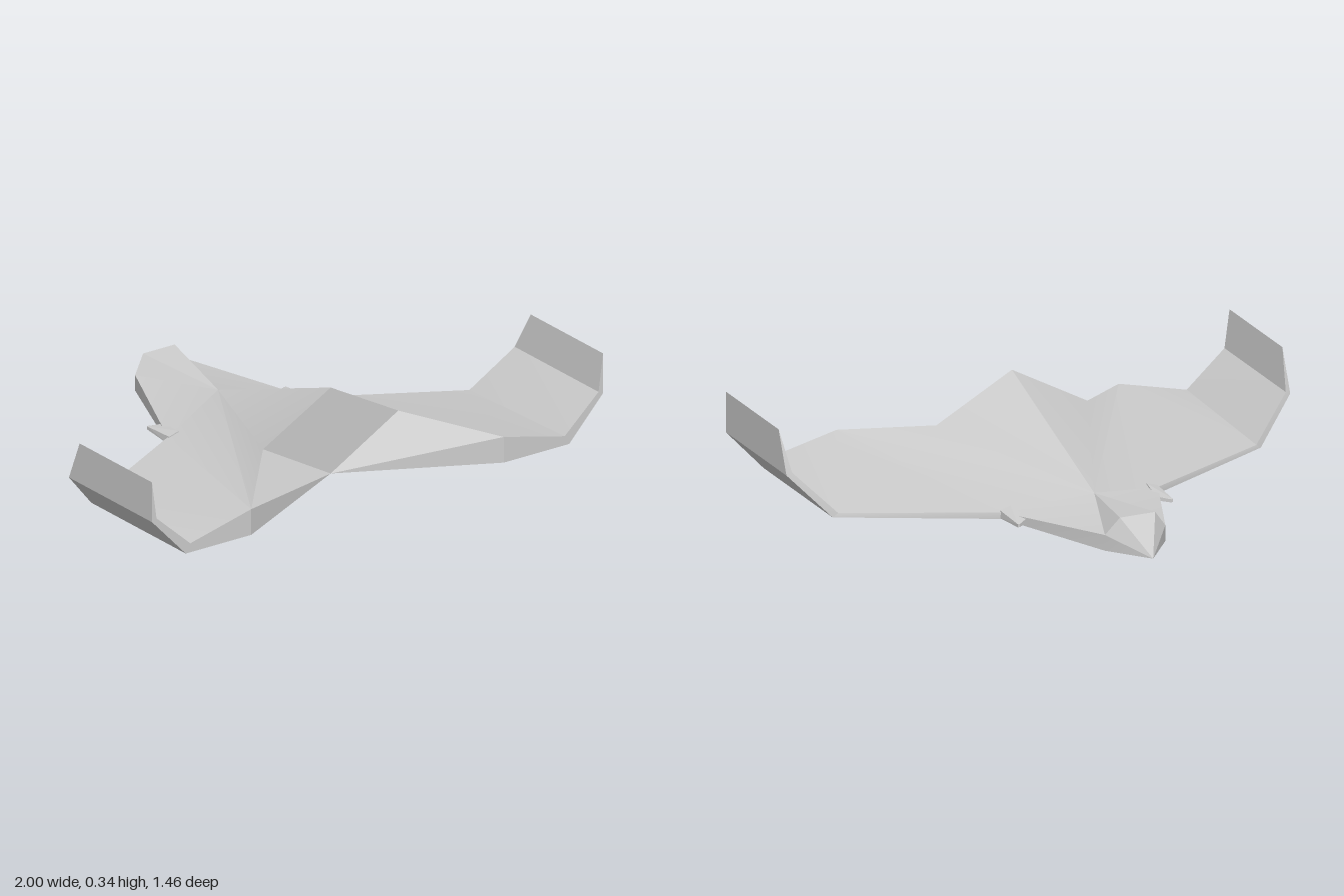
import * as THREE from 'three';
import { toCreasedNormals } from 'three/addons/utils/BufferGeometryUtils.js';
import { ConvexGeometry } from 'three/addons/geometries/ConvexGeometry.js';

// Corner points of the +x half; the nose points to -z. A trailing 0 marks the flat belly.
const P = {
  nose: [0, 0, -0.73],
  chine: [0.12, 0.06, -0.58], chine0: [0.12, 0, -0.58],
  canopyMid: [0, 0.125, -0.6], canopySide: [0.07, 0.125, -0.6], canopyTail: [0, 0.09, -0.24],
  apex: [0, 0.335, 0.445], shoulder: [0.3, 0.17, 0.445], notch0: [0, 0, 0.445],
  root: [0.31, 0.025, -0.12], root0: [0.31, 0, -0.12],
  inner: [0.56, 0.1, 0.73], inner0: [0.56, 0, 0.73],
  lead: [0.83, 0.015, 0.15], lead0: [0.85, 0, 0.155],
  trail: [0.83, 0.035, 0.73], trail0: [0.85, 0, 0.73],
  kneeIn: [0.98, 0.17, 0.73], kneeInFront: [0.98, 0.17, 0.22],
  kneeOut: [1, 0.16, 0.73], kneeOutFront: [1, 0.16, 0.225],
  tip: [1, 0.315, 0.73], tipFront: [1, 0.315, 0.29],
};

const material = new THREE.MeshStandardMaterial({ color: 0xcccccc });

// Builds named faces on one side, or on both sides by mirroring in x
function panels(name, faces, sides = [1, -1]) {
  const pos = [];
  for (const s of sides) {
    for (const face of faces) {
      const c = face.split(' ').map(k => P[k]);
      for (let i = 1; i < c.length - 1; i++) {
        const tri = s > 0 ? [c[0], c[i], c[i + 1]] : [c[0], c[i + 1], c[i]];
        for (const [x, y, z] of tri) pos.push(s * x, y, z);
      }
    }
  }
  const g = new THREE.BufferGeometry();
  g.setAttribute('position', new THREE.Float32BufferAttribute(pos, 3));
  const mesh = new THREE.Mesh(toCreasedNormals(g, 0.45), material);
  mesh.name = name;
  return mesh;
}

export function createModel() {
  const group = new THREE.Group();
  group.name = 'flyingWingCraft';

  // Raised wedge cockpit on the nose
  group.add(panels('cockpit', [
    'canopyMid canopyTail canopySide',
    'nose canopyMid canopySide',
    'nose canopySide chine',
    'canopySide canopyTail chine',
  ]));

  // Ridged hull blending into the wings, with side walls and flat belly
  group.add(panels('hullAndWings', [
    'apex shoulder canopyTail',
    'shoulder inner canopyTail',
    'inner root canopyTail',
    'inner lead root',
    'inner trail lead',
    'chine canopyTail root',
    'root0 chine0 chine root',
    'chine0 nose chine',
    'lead0 root0 root lead',
    'root0 nose chine0',
    'root0 lead0 trail0',
    'root0 trail0 inner0',
    'root0 inner0 notch0',
    'root0 notch0 nose',
  ]));

  // Diamond tail and slanted trailing faces
  group.add(panels('rearFaces', [
    'notch0 shoulder apex',
    'notch0 inner0 inner shoulder',
    'inner0 trail0 trail inner',
  ]));

  // Upturned two-stage wing tips
  for (const [name, side] of [['leftWinglet', 1], ['rightWinglet', -1]]) {
    group.add(panels(name, [
      'trail kneeIn kneeInFront lead',
      'kneeIn tip tipFront kneeInFront',
      'trail0 lead0 kneeOutFront kneeOut',
      'kneeOut kneeOutFront tipFront tip',
      'trail0 kneeOut kneeIn trail',
      'kneeOut tip kneeIn',
      'kneeOutFront lead0 lead kneeInFront',
      'tipFront kneeOutFront kneeInFront',
    ], [side]));
  }

  // Small pointed prongs at the wing roots
  for (const [name, s] of [['leftProng', 1], ['rightProng', -1]]) {
    const pts = [
      [0.3, 0.01, -0.25], [0.308, 0.01, -0.25], [0.3, 0.022, -0.25], [0.308, 0.022, -0.25],
      [0.255, 0.015, -0.22], [0.255, 0.03, -0.22],
      [0.27, 0.002, -0.11], [0.315, 0.002, -0.11], [0.27, 0.042, -0.11], [0.312, 0.03, -0.11],
    ].map(([x, y, z]) => new THREE.Vector3(s * x, y, z));
    const prong = new THREE.Mesh(new ConvexGeometry(pts), material);
    prong.name = name;
    group.add(prong);
  }
  return group;
}
